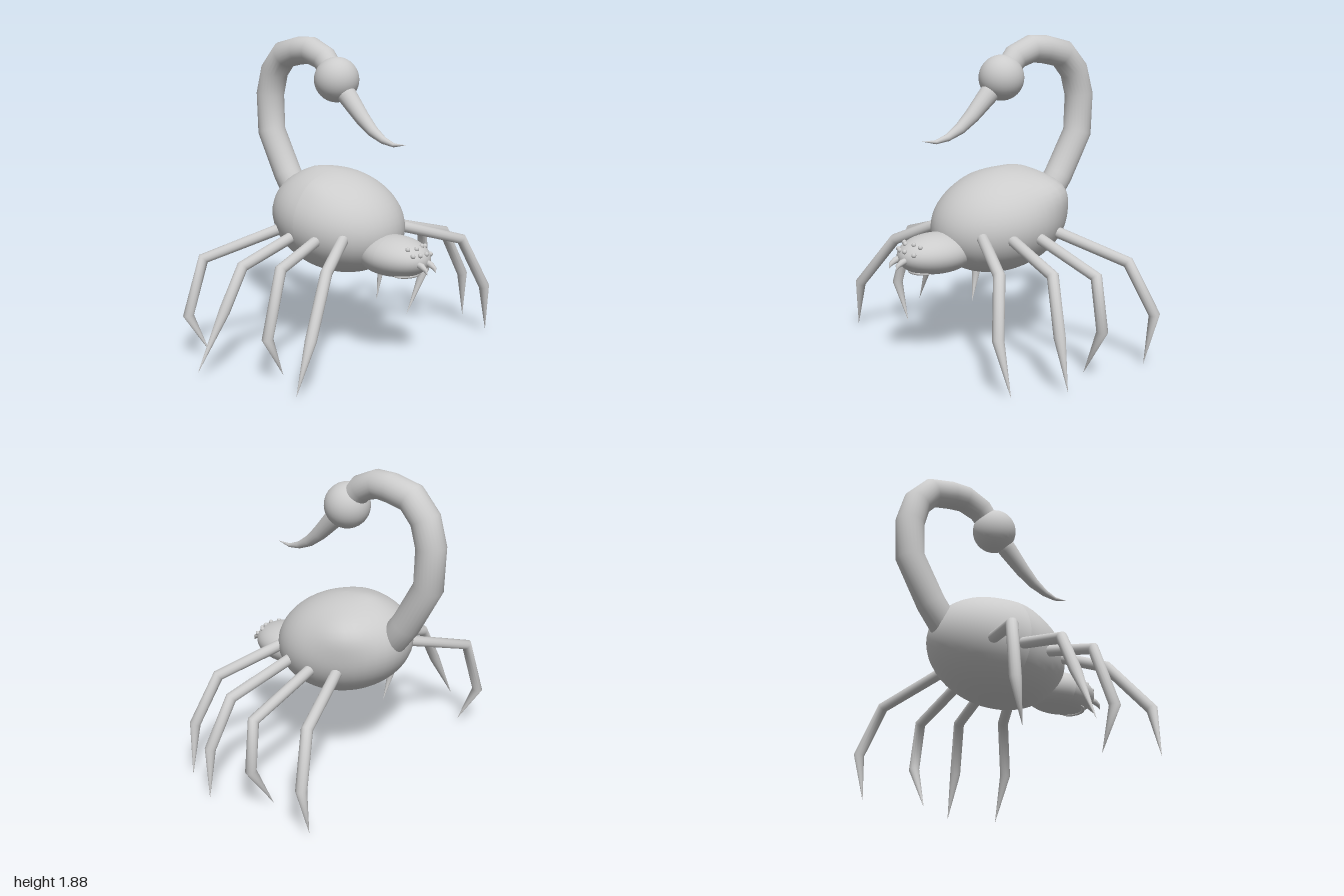
import * as THREE from 'three';

const MAT = new THREE.MeshStandardMaterial({ color: 0xcccccc });
const V = (x, y, z) => new THREE.Vector3(x, y, z);
const MID = 0.05; // the body's centre line in x

function addMesh(parent, name, geometry, x = 0, y = 0, z = 0) {
  const mesh = new THREE.Mesh(geometry, MAT);
  mesh.name = name;
  mesh.position.set(x, y, z);
  parent.add(mesh);
  return mesh;
}

// Limb with straight segments: one ring per point, each with its own radius
function limb(points, radii, sides = 14) {
  const pts = points.map((p) => V(...p));
  // closed, slightly rounded start
  const back = pts[0].clone().sub(pts[1]).normalize().multiplyScalar(radii[0] * 0.35);
  pts.unshift(pts[0].clone().add(back));
  const rad = [0, ...radii];
  const dir = (i) => pts[i + 1].clone().sub(pts[i]).normalize();
  const pos = [], index = [], last = pts.length - 1;
  let n = null;
  pts.forEach((p, i) => {
    const t = V(0, 0, 0);
    if (i > 0) t.add(dir(i - 1));
    if (i < last) t.add(dir(i));
    t.normalize();
    if (!n) n = Math.abs(t.x) < 0.8 ? V(1, 0, 0) : V(0, 1, 0);
    n.addScaledVector(t, -n.dot(t)).normalize();
    const b = t.clone().cross(n);
    for (let j = 0; j < sides; j++) {
      const a = (j / sides) * Math.PI * 2;
      const q = p.clone().addScaledVector(n, rad[i] * Math.cos(a)).addScaledVector(b, rad[i] * Math.sin(a));
      pos.push(q.x, q.y, q.z);
      if (i < last) {
        const k = (j + 1) % sides, r0 = i * sides, r1 = r0 + sides;
        index.push(r0 + j, r0 + k, r1 + j, r0 + k, r1 + k, r1 + j);
      }
    }
  });
  const g = new THREE.BufferGeometry();
  g.setAttribute('position', new THREE.Float32BufferAttribute(pos, 3));
  g.setIndex(index);
  g.computeVertexNormals();
  return g;
}

// Sphere whose vertices are moved by a rule
function shapedSphere(rule) {
  const g = new THREE.SphereGeometry(1, 40, 28);
  const p = g.attributes.position, v = V(0, 0, 0);
  for (let i = 0; i < p.count; i++) {
    rule(v.fromBufferAttribute(p, i));
    p.setXYZ(i, v.x, v.y, v.z);
  }
  g.computeVertexNormals();
  return g;
}

export function createModel() {
  const model = new THREE.Group();
  model.name = 'scorpionSpider';

  // Abdomen: an ellipsoid, higher at the back, with soft lumps on top
  const lumps = [
    { d: V(0.72, 0.5, -0.5).normalize(), h: 0.12, w: 0.35 },
    { d: V(-0.62, 0.75, 0.1).normalize(), h: 0.03, w: 0.25 },
    { d: V(-0.1, 0.93, -0.35).normalize(), h: 0.025, w: 0.2 },
  ];
  addMesh(model, 'abdomen', shapedSphere((v) => {
    let s = 1;
    for (const l of lumps) s += l.h * Math.exp(-v.distanceToSquared(l.d) / (l.w * l.w));
    v.multiplyScalar(s);
    v.set(v.x * 0.38, v.y * 0.308 - v.z * 0.05, v.z * 0.43);
  }), MID, 0.8, -0.02);

  // Head with a flattened underside
  const head = new THREE.Group();
  head.name = 'head';
  head.position.set(MID, 0.645, 0.44);
  model.add(head);
  const R = V(0.18, 0.122, 0.24);
  addMesh(head, 'skull', shapedSphere((v) => {
    v.multiply(R);
    if (v.y < -0.085) v.y = -0.085 + (v.y + 0.085) * 0.8;
  }));
  // Lower lip
  const lip = [];
  for (let i = -4; i <= 4; i++) {
    const a = (i / 4) * 0.95;
    lip.push([0.125 * Math.sin(a), -0.092, 0.162 * Math.cos(a)]);
  }
  addMesh(head, 'lip', limb(lip, [0.003, 0.008, 0.01, 0.01, 0.01, 0.01, 0.01, 0.008, 0], 8));

  // Two rows of eyes set on the skull
  const eyes = [[-0.07, 0.075], [-0.02, 0.075], [0.045, 0.08], [0.09, 0.07],
    [-0.07, 0.043], [-0.027, 0.043], [0.027, 0.043], [0.09, 0.03]];
  for (const [x, y] of eyes) {
    const z = R.z * Math.sqrt(1 - (x / R.x) ** 2 - (y / R.y) ** 2);
    addMesh(head, 'eye', new THREE.SphereGeometry(0.014, 12, 8), x, y, z + 0.003);
  }
  // Fangs
  for (const x of [-0.039, 0.036]) {
    addMesh(head, 'fang', limb([[x, -0.005, 0.215], [x, -0.015, 0.25], [x, -0.033, 0.278], [x, -0.058, 0.29]],
      [0.017, 0.019, 0.013, 0], 10));
  }

  // Tail arching over the back: [y, z]
  const tail = [[0.83, -0.33], [1.02, -0.475], [1.285, -0.625], [1.52, -0.635], [1.67, -0.592],
    [1.775, -0.495], [1.805, -0.355], [1.81, -0.255], [1.765, -0.14], [1.66, -0.05]];
  addMesh(model, 'tail', limb(tail.map(([y, z]) => [MID, y, z]),
    [0.088, 0.088, 0.088, 0.088, 0.088, 0.088, 0.086, 0.083, 0.078, 0.07], 24));
  addMesh(model, 'venomBulb', new THREE.SphereGeometry(0.136, 32, 20), MID, 1.645, -0.035);
  const sting = [[1.6, 0.01], [1.545, 0.065], [1.43, 0.18], [1.36, 0.265], [1.315, 0.35], [1.295, 0.43], [1.305, 0.525]];
  addMesh(model, 'sting', limb(sting.map(([y, z]) => [MID, y, z]),
    [0.06, 0.058, 0.045, 0.034, 0.022, 0.012, 0], 18));

  // Legs: hip, knee, ankle, tip
  const legs = {
    leftFrontLeg: [[0.31, 0.755, 0.285], [0.68, 0.64, 0.44], [0.8, 0.33, 0.535], [0.87, 0.02, 0.5]],
    leftSecondLeg: [[0.32, 0.755, 0.12], [0.82, 0.63, 0.185], [0.95, 0.33, 0.24], [0.995, 0.03, 0.215]],
    leftThirdLeg: [[0.32, 0.755, -0.05], [0.89, 0.6, -0.065], [0.935, 0.3, -0.075], [0.77, 0.015, -0.085]],
    leftRearLeg: [[0.32, 0.755, -0.2], [0.8, 0.62, -0.385], [0.94, 0.33, -0.465], [0.87, 0.02, -0.455]],
    rightFrontLeg: [[-0.2, 0.755, 0.27], [-0.47, 0.63, 0.405], [-0.705, 0.32, 0.525], [-0.79, 0.02, 0.5]],
    rightSecondLeg: [[-0.21, 0.755, 0.115], [-0.62, 0.64, 0.195], [-0.75, 0.27, 0.225], [-0.63, 0.03, 0.22]],
    rightThirdLeg: [[-0.22, 0.755, -0.06], [-0.68, 0.62, -0.065], [-0.81, 0.38, -0.075], [-0.995, 0.05, -0.095]],
    rightRearLeg: [[-0.22, 0.755, -0.215], [-0.7, 0.61, -0.4], [-0.79, 0.27, -0.44], [-0.71, 0.05, -0.345]],
  };
  for (const [name, path] of Object.entries(legs)) {
    addMesh(model, name, limb(path, [0.034, 0.034, 0.033, 0]));
  }
  return model;
}
